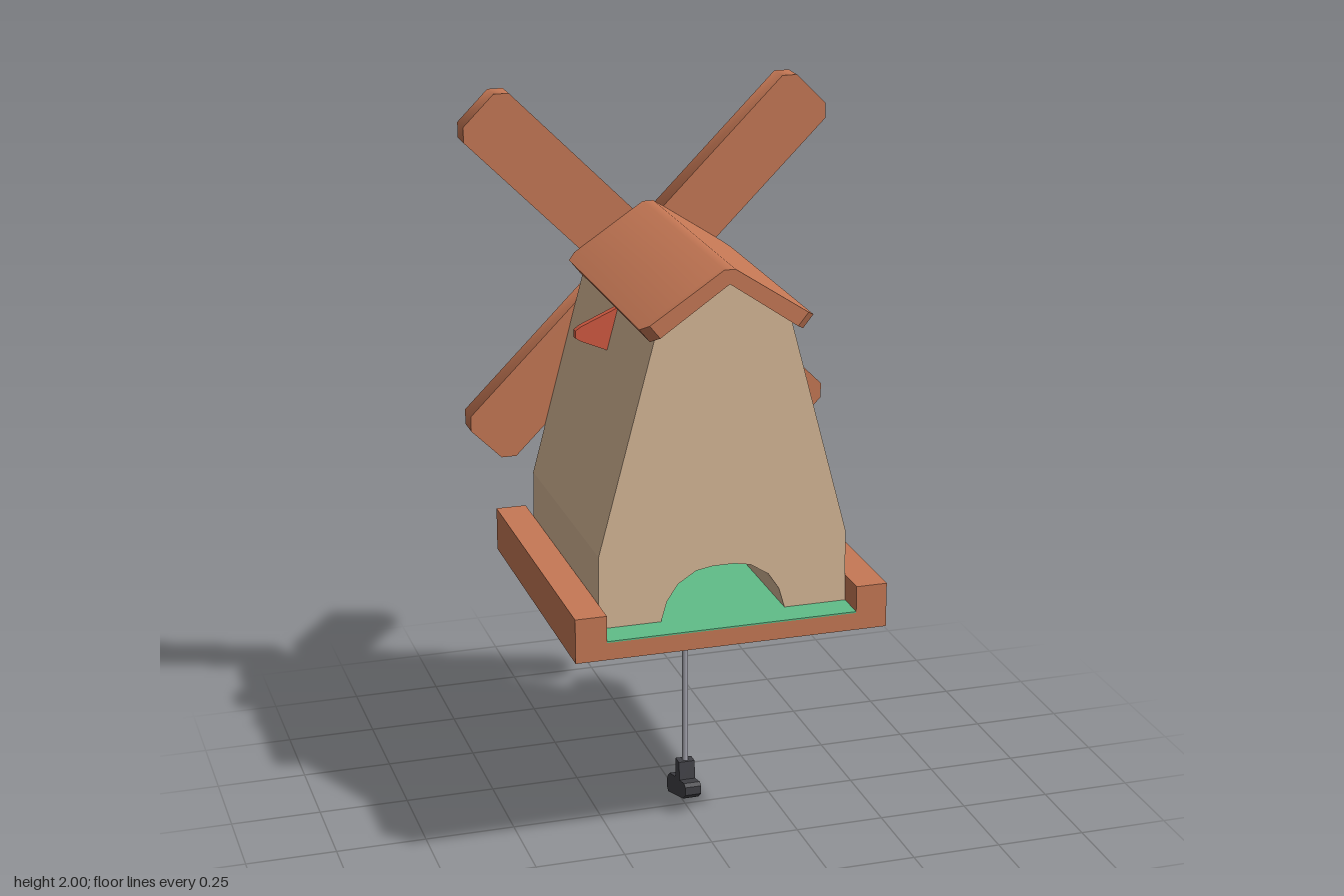
import * as THREE from 'three';
import { toCreasedNormals } from 'three/addons/utils/BufferGeometryUtils.js';

const material = (name, color) => {
  const m = new THREE.MeshStandardMaterial({ color });
  m.name = name;
  return m;
};

const shapeOf = (points) => new THREE.Shape(points.map(([x, y]) => new THREE.Vector2(x, y)));

// Extrudes a polygon along z, centred on z = 0
function slab(points, depth, steps = 1) {
  const g = new THREE.ExtrudeGeometry(shapeOf(points), { depth, steps, bevelEnabled: false });
  return g.translate(0, 0, -depth / 2);
}

// Completes an outline from its right half
const mirrored = (half) => [...half, ...half.filter(([x]) => x > 0).reverse().map(([x, y]) => [-x, y])];

export function createModel() {
  const brown = material('terracotta wood', 0xc67855);
  const tan = material('plaster', 0xd7b897);
  const green = material('turf green', 0x60bd88);
  const red = material('red', 0xd15a41);
  const grey = material('metal grey', 0xa4a4ae);
  const dark = material('dark metal', 0x414146);

  const model = new THREE.Group();
  const add = (name, geometry, mat, parent = model) => {
    const mesh = new THREE.Mesh(geometry, mat);
    mesh.name = name;
    parent.add(mesh);
    return mesh;
  };

  // Tray with two side rails and a turf strip between them
  add('tray', slab([
    [-0.428, 0.667], [0.428, 0.667], [0.428, 0.79], [0.343, 0.79],
    [0.343, 0.715], [-0.343, 0.715], [-0.343, 0.79], [-0.428, 0.79],
  ], 0.856), brown);
  add('turf', new THREE.BoxGeometry(0.686, 0.004, 0.856).translate(0, 0.717, 0), green);

  // Tapered tower with an arched tunnel running through it
  const arch = [[0.172, 0.717], [0.155, 0.775], [0.125, 0.82], [0.075, 0.852], [0.03, 0.86]];
  const tower = [
    ...arch.map(([x, y]) => [-x, y]), ...[...arch].reverse(),
    [0.343, 0.717], [0.34, 0.92], [0.18, 1.52], [0, 1.645], [-0.18, 1.52], [-0.34, 0.92], [-0.343, 0.717],
  ];
  add('tower', slab(tower, 0.684), tan);

  // Gabled roof whose eave corners are clipped at both ends
  const roof = slab([
    [-0.205, 1.497], [0, 1.638], [0.205, 1.497], [0.233, 1.532],
    [0.015, 1.676], [-0.015, 1.676], [-0.233, 1.532],
  ], 0.73, 3);
  const stations = [-0.345, -0.322, 0.362, 0.385];
  const p = roof.attributes.position;
  for (let i = 0; i < p.count; i++) {
    const k = Math.round((p.getZ(i) / 0.73 + 0.5) * 3);
    const x = p.getX(i);
    if ((k === 0 || k === 3) && Math.abs(x) > 0.1) {
      p.setX(i, x - Math.sign(x) * 0.021);
      p.setY(i, p.getY(i) + 0.014);
    }
    p.setZ(i, stations[k]);
  }
  add('roof', toCreasedNormals(roof, 0.7), brown);

  // Four sails on a metal cross at the back
  const sails = new THREE.Group();
  sails.name = 'sails';
  sails.position.set(0, 1.486, -0.38);
  model.add(sails);
  const sail = toCreasedNormals(slab(mirrored([
    [0.06, 0.1], [0.09, 0.13], [0.09, 0.637], [0.06, 0.667],
  ]), 0.07), 0.9);
  for (let i = 0; i < 4; i++) {
    add('sail', sail, brown, sails).rotation.z = Math.PI / 4 + i * Math.PI / 2;
  }
  const w = 0.04, l = 0.13;
  add('hubCross', slab([
    [w, -l], [w, -w], [l, -w], [l, w], [w, w], [w, l],
    [-w, l], [-w, w], [-l, w], [-l, -w], [-w, -w], [-w, -l],
  ], 0.028).rotateZ(Math.PI / 4), grey, sails);
  add('hubPin', new THREE.CylinderGeometry(0.031, 0.031, 0.034, 12).rotateX(Math.PI / 2).translate(0, 0, -0.028), brown, sails);

  // Small pennant on the tower's right side
  add('pennant', slab([
    [-0.306, 1.412], [-0.29, 1.402], [-0.17, 1.35], [-0.17, 1.495], [-0.29, 1.443], [-0.306, 1.432],
  ], 0.02), red);

  // Putter that carries the tower: grip, shaft and head
  const grip = [[0, 0.578], [0.02, 0.578], [0.023, 0.61], [0.03, 0.68], [0.023, 0.722], [0.03, 0.8], [0.03, 0.855], [0, 0.86]];
  add('grip', toCreasedNormals(new THREE.LatheGeometry(grip.map(([x, y]) => new THREE.Vector2(x, y)), 12), 0.6), red);
  add('shaft', new THREE.CylinderGeometry(0.009, 0.009, 0.48, 12).translate(0, 0.35, 0), grey);
  // Side outline is drawn with z on the x axis, then turned to face across
  const head = slab([
    [0.078, 0.09], [0.065, 0.097], [0.022, 0.088], [0.016, 0.14], [-0.016, 0.14], [-0.02, 0.08],
    [-0.075, 0.066], [-0.098, 0.045], [-0.1, 0.012], [-0.088, 0.002], [0.055, 0.046], [0.078, 0.066],
  ].reverse(), 0.046).rotateY(-Math.PI / 2);
  add('putterHead', head, dark);

  return model;
}
